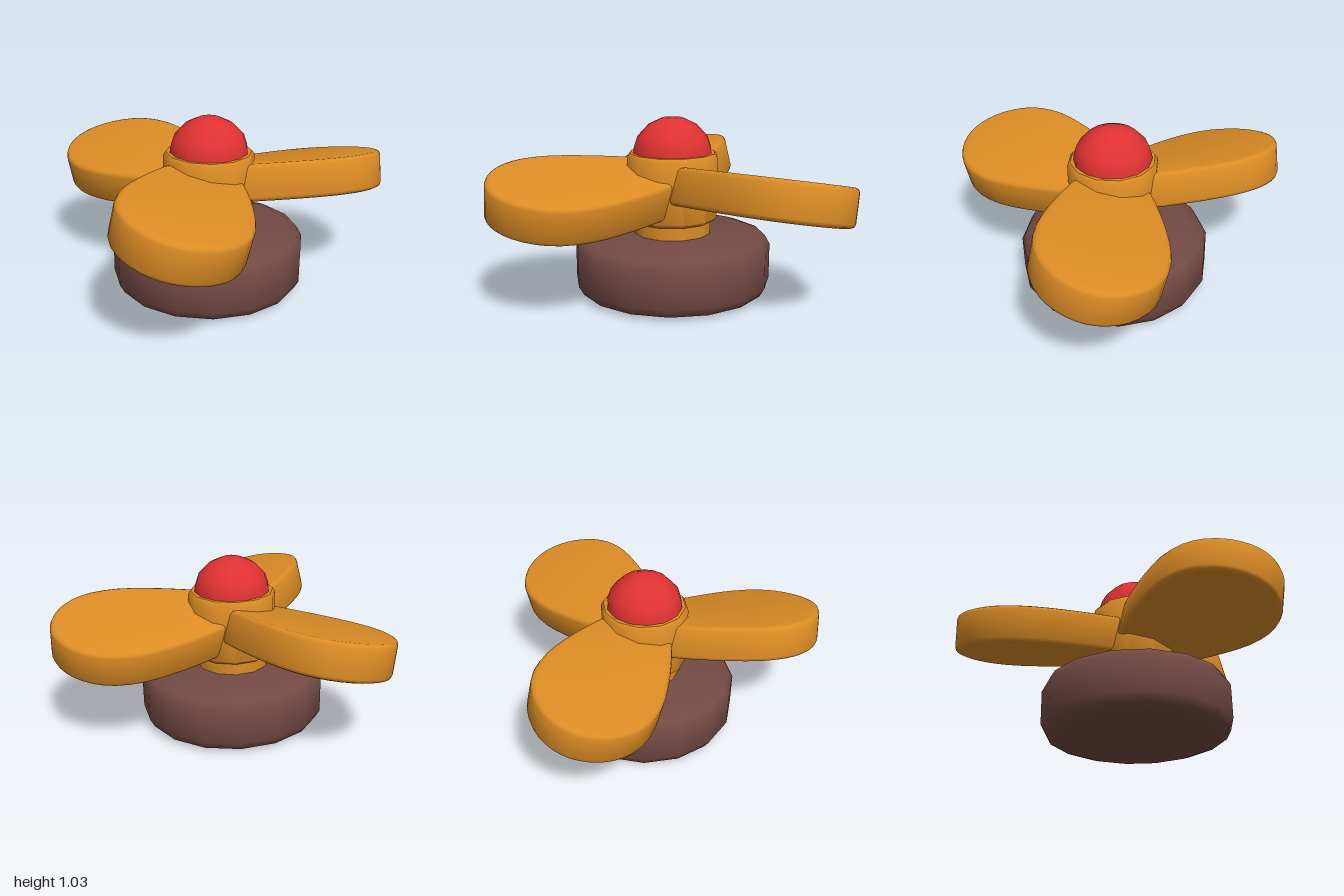
import * as THREE from 'three';
import { toCreasedNormals } from 'three/addons/utils/BufferGeometryUtils.js';

const CREASE = 0.9;
const HUB_Z = 0.175;

function material(name, color) {
  const m = new THREE.MeshStandardMaterial({ color });
  m.name = name;
  return m;
}

// Turned part from [radius, height] pairs, bottom to top
function turned(name, profile, sides, mat, turn = 0) {
  const points = profile.map(([r, y]) => new THREE.Vector2(r, y));
  const geo = toCreasedNormals(new THREE.LatheGeometry(points, sides), CREASE);
  geo.rotateY(turn);
  const mesh = new THREE.Mesh(geo, mat);
  mesh.name = name;
  return mesh;
}

// Paddle blade pointing along -z, rounded rims, pitched about its own axis
function bladeGeometry() {
  const half = [
    [0.13, 0], [0.215, 0.128], [0.28, 0.3], [0.328, 0.47], [0.358, 0.64],
    [0.348, 0.8], [0.298, 0.92], [0.205, 1.02], [0.1, 1.075],
  ];
  const right = half.map(([x, d]) => new THREE.Vector3(x, d, 0));
  const left = half.map(([x, d]) => new THREE.Vector3(-x, d, 0)).reverse();
  const curve = new THREE.CatmullRomCurve3([...right, new THREE.Vector3(0, 1.092, 0), ...left]);
  const outline = curve.getPoints(36).map((p) => new THREE.Vector2(p.x, p.y));
  const bevel = 0.025, thickness = 0.215;
  const geo = new THREE.ExtrudeGeometry(new THREE.Shape(outline), {
    depth: thickness - 2 * bevel,
    bevelEnabled: true,
    bevelThickness: bevel,
    bevelSize: bevel,
    bevelOffset: -bevel,
    bevelSegments: 2,
  });
  geo.translate(0, 0, bevel - thickness / 2);
  geo.rotateX(-Math.PI / 2);
  geo.rotateZ(THREE.MathUtils.degToRad(13));
  return toCreasedNormals(geo, CREASE);
}

export function createModel() {
  const model = new THREE.Group();
  model.name = 'propeller';
  const orange = material('orange', 0xdc8c25);
  const red = material('red', 0xe03232);
  const brown = material('brown', 0x734a44);

  const assembly = new THREE.Group();
  assembly.name = 'propellerAssembly';
  assembly.position.z = HUB_Z;
  model.add(assembly);

  // Thick round base with softened rims
  const base = turned('base', [
    [0, 0], [0.475, 0], [0.545, 0.025], [0.573, 0.075],
    [0.573, 0.28], [0.545, 0.33], [0.475, 0.355], [0, 0.355],
  ], 16, brown);
  base.scale.z = 0.985;
  assembly.add(base);

  // Neck and hub
  const turn = Math.PI / 12;
  assembly.add(turned('neck', [[0.226, 0.34], [0.226, 0.45]], 12, orange, turn));
  assembly.add(turned('hub', [
    [0, 0.432], [0.245, 0.432], [0.266, 0.452], [0.266, 0.805], [0.25, 0.825], [0, 0.825],
  ], 12, orange, turn));

  // Domed cap
  assembly.add(turned('cap', [
    [0.23, 0.815], [0.226, 0.855], [0.206, 0.915], [0.14, 0.985], [0.06, 1.023], [0, 1.027],
  ], 14, red));

  // Three blades
  const geo = bladeGeometry();
  for (let i = 0; i < 3; i++) {
    const blade = new THREE.Mesh(geo, orange);
    blade.name = `blade${i + 1}`;
    blade.position.y = 0.63;
    blade.rotation.y = (i * Math.PI * 2) / 3;
    assembly.add(blade);
  }
  return model;
}
